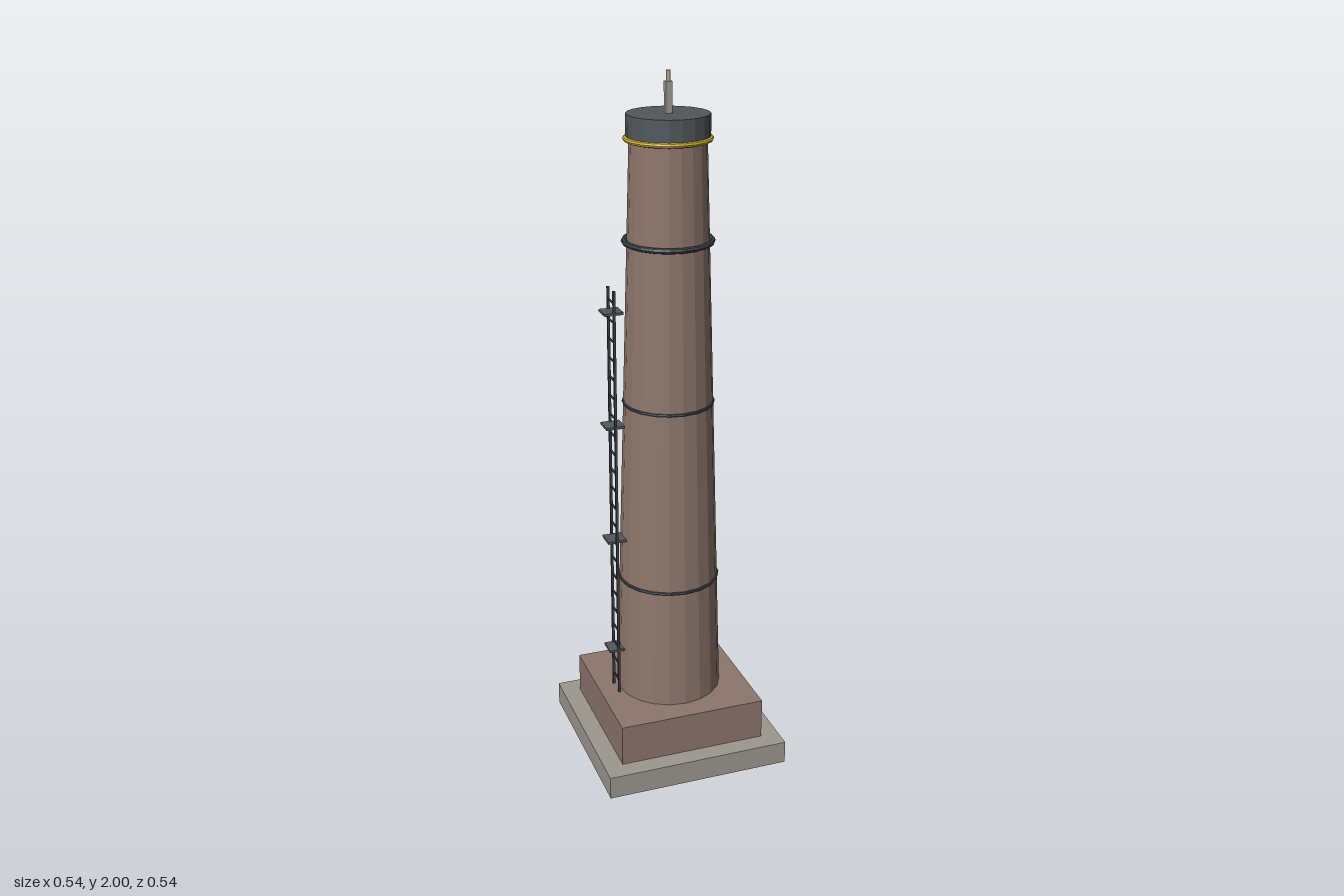
import * as THREE from 'three';

const SIDES = 20;
const mat = (color) => new THREE.MeshStandardMaterial({ color, flatShading: true });

export function createModel() {
  const root = new THREE.Group();
  root.name = 'chimney';
  const brick = mat(0x8e776c), plinthMat = mat(0x8c766d), concrete = mat(0x9c988e);
  const steel = mat(0x50575b), dark = mat(0x3c4246), yellow = mat(0xcfb02c);
  const copper = mat(0x967057), pale = mat(0x9b9b98), cream = mat(0xd8d2b4);

  const add = (name, geometry, material, x = 0, y = 0, z = 0, parent = root) => {
    const mesh = new THREE.Mesh(geometry, material);
    mesh.name = name;
    mesh.position.set(x, y, z);
    parent.add(mesh);
    return mesh;
  };
  const box = (name, w, h, d, material, x, y, z, parent) =>
    add(name, new THREE.BoxGeometry(w, h, d), material, x, y, z, parent);

  // Stepped foundation
  box('foundationSlab', 0.543, 0.068, 0.543, concrete, 0, 0.034, 0);
  box('plinth', 0.434, 0.122, 0.434, plinthMat, 0, 0.129, 0);

  // Tapered shaft and cap
  const bottom = 0.19, top = 1.84, rBottom = 0.154, rTop = 0.104;
  add('shaft', new THREE.CylinderGeometry(rTop, rBottom, top - bottom, SIDES), brick, 0, (bottom + top) / 2, 0);
  add('cap', new THREE.CylinderGeometry(0.113, 0.113, 0.06, SIDES), steel, 0, 1.86, 0);

  // Hoops around the shaft: height, ring radius, tube radius
  const hoops = [
    ['lowerBand', 0.55, 0.143, 0.005, dark],
    ['middleBand', 1.09, 0.126, 0.005, dark],
    ['upperBand', 1.55, 0.12, 0.008, dark],
    ['warningRing', 1.825, 0.114, 0.007, yellow],
  ];
  for (const [name, y, radius, tube, material] of hoops) {
    const geometry = new THREE.TorusGeometry(radius, tube, 8, SIDES).rotateX(Math.PI / 2);
    add(name, geometry.rotateY(Math.PI / 2), material, 0, y, 0);
  }

  // Finial on the cap
  box('finialPost', 0.018, 0.082, 0.018, pale, 0, 1.931, 0);
  add('finialTip', new THREE.CylinderGeometry(0.006, 0.006, 0.03, 8), cream, 0, 1.985, 0);

  // Access ladder with small rest plates
  const ladder = new THREE.Group();
  ladder.name = 'ladder';
  ladder.position.x = -0.164;
  root.add(ladder);
  for (const side of [-1, 1]) {
    box('ladderRail', 0.007, 1.24, 0.007, dark, 0, 0.81, side * 0.026, ladder);
  }
  for (let i = 0; i < 22; i++) {
    const rung = new THREE.CylinderGeometry(0.003, 0.003, 0.06, 6).rotateX(Math.PI / 2);
    add('ladderRung', rung, dark, 0, 0.23 + i * 0.0555, 0, ladder);
  }
  for (const y of [0.33, 0.685, 1.035, 1.365]) {
    box('restPlate', 0.054, 0.007, 0.054, steel, 0, y, 0, ladder);
  }

  // Upright panel standing on the plinth
  box('panel', 0.095, 0.085, 0.01, steel, 0.122, 0.2325, -0.149);

  // Horizontal duct set against the back of the plinth
  const duct = new THREE.CylinderGeometry(0.043, 0.043, 0.19, 16).rotateZ(Math.PI / 2);
  const ductMat = copper.clone();
  ductMat.flatShading = false;
  add('duct', duct, ductMat, 0, 0.108, -0.23);

  return root;
}
